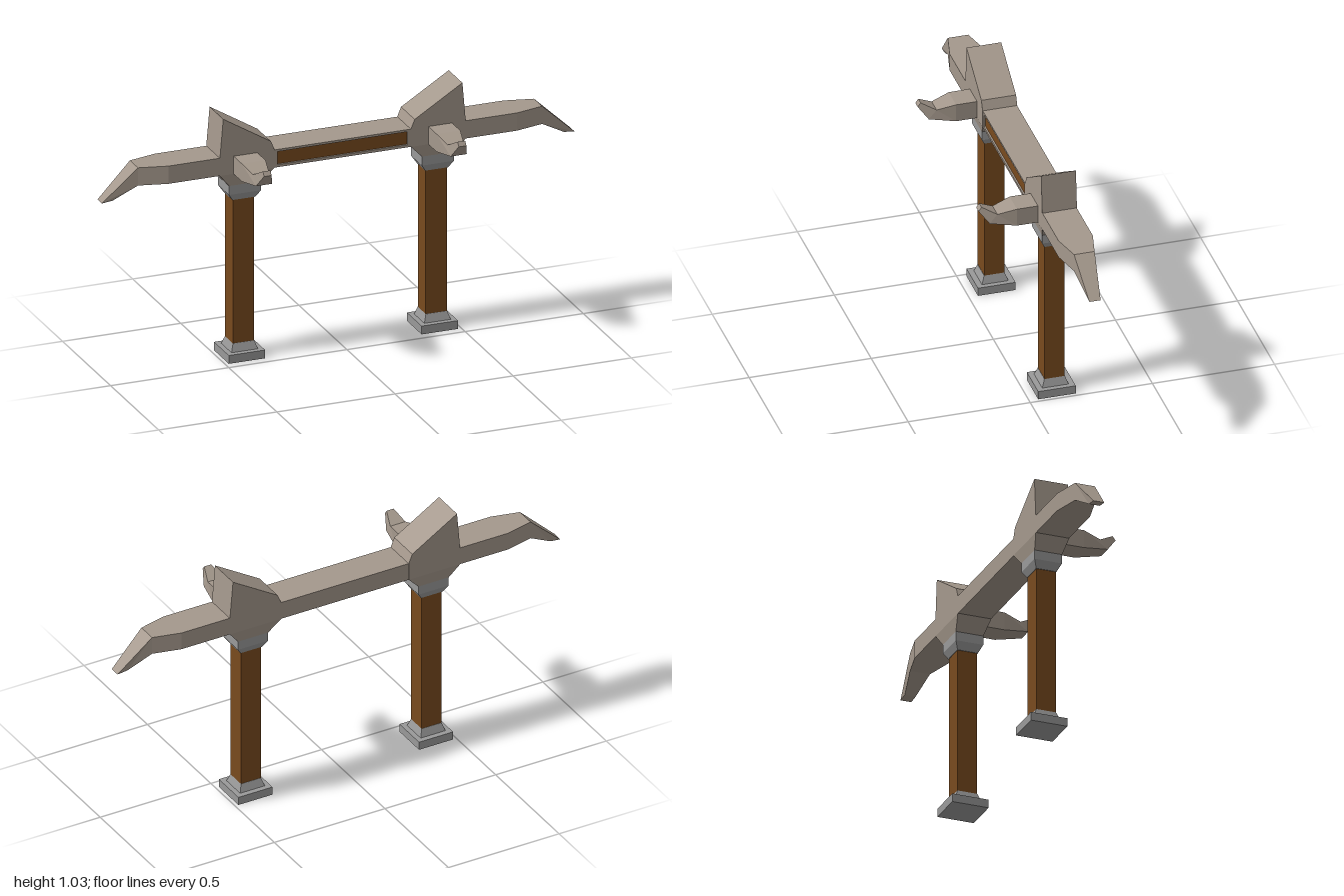
import * as THREE from 'three';

const ZC = -0.114; // centre plane of the beam and posts
const HALF = 0.07; // half depth of the beam

const material = (color) => new THREE.MeshStandardMaterial({ color, flatShading: true, roughness: 0.9 });

// Skins a list of four-cornered sections and caps both ends; faces always turn outward.
function loft(rings) {
  const tris = [];
  const quad = (a, b, c, d) => tris.push([a, b, c], [a, c, d]);
  for (let i = 0; i < rings.length - 1; i++) {
    const p = rings[i], q = rings[i + 1];
    for (let j = 0; j < 4; j++) {
      const k = (j + 1) % 4;
      quad(p[j], p[k], q[k], q[j]);
    }
  }
  quad(...[...rings[0]].reverse());
  quad(...rings[rings.length - 1]);
  let volume = 0;
  for (const [a, b, c] of tris) volume += a.dot(b.clone().cross(c));
  const pos = [];
  for (const [a, b, c] of tris) {
    for (const v of volume > 0 ? [a, b, c] : [a, c, b]) pos.push(v.x, v.y, v.z);
  }
  const geo = new THREE.BufferGeometry();
  geo.setAttribute('position', new THREE.Float32BufferAttribute(pos, 3));
  geo.computeVertexNormals();
  return geo;
}

// Square section lying flat at height y
const flatRing = (x, y, hx, hz) =>
  [[-1, -1], [1, -1], [1, 1], [-1, 1]].map(([i, j]) => new THREE.Vector3(x + i * hx, y, ZC + j * hz));

function polygon(points, Type = THREE.Shape) {
  return new Type(points.map(([x, y]) => new THREE.Vector2(x, y)));
}

export function createModel() {
  const model = new THREE.Group();
  model.name = 'gateway';
  const stone = material(0xa4988c);
  const wood = material(0x784a1e);
  const metal = material(0x999999);

  const add = (parent, name, geo, mat) => {
    const mesh = new THREE.Mesh(geo, mat);
    mesh.name = name;
    parent.add(mesh);
    return mesh;
  };

  // Crossbeam: solid back with a framed recess in front
  const beam = new THREE.Group();
  beam.name = 'crossbeam';
  model.add(beam);
  const recess = 0.012, inner = 0.288;
  const back = add(beam, 'beamBody', new THREE.BoxGeometry(inner * 2, 0.075, HALF * 2 - recess), stone);
  back.position.set(0, 0.8345, ZC - recess / 2);
  const frame = polygon([[-inner, 0.797], [inner, 0.797], [inner, 0.872], [-inner, 0.872]]);
  frame.holes.push(polygon([[-0.275, 0.808], [-0.275, 0.863], [0.275, 0.863], [0.275, 0.808]], THREE.Path));
  const rim = add(beam, 'beamFrame', new THREE.ExtrudeGeometry(frame, { depth: recess, bevelEnabled: false }), stone);
  rim.position.z = ZC + HALF - recess;
  const panel = add(beam, 'beamPanel', new THREE.BoxGeometry(0.55, 0.055, 0.006), wood);
  panel.position.set(0, 0.8355, ZC + HALF - recess + 0.002);

  for (const s of [1, -1]) {
    const side = new THREE.Group();
    side.name = s > 0 ? 'leftSide' : 'rightSide';
    model.add(side);
    const x = s * 0.408;

    // Post with stepped foot and collar
    add(side, 'footPlate', loft([flatRing(x, 0, 0.077, 0.077), flatRing(x, 0.035, 0.077, 0.077)]), metal);
    add(side, 'footTaper', loft([flatRing(x, 0.035, 0.056, 0.054), flatRing(x, 0.068, 0.045, 0.042)]), metal);
    add(side, 'post', loft([flatRing(x, 0.067, 0.045, 0.041), flatRing(x, 0.677, 0.045, 0.041)]), wood);
    add(side, 'collar', loft([
      flatRing(x, 0.675, 0.048, 0.043),
      flatRing(x, 0.705, 0.068, 0.058),
      flatRing(x, 0.743, 0.068, 0.058),
    ]), metal);

    // Hub: flared underside and pointed crest
    add(side, 'hubFlare', loft([
      flatRing(x, 0.743, 0.068, 0.058),
      flatRing(s * 0.404, 0.797, 0.116, 0.071),
    ]), stone);
    const crest = polygon([[0.288, 0.797], [0.52, 0.797], [0.52, 0.872], [0.506, 1.035], [0.304, 0.911], [0.288, 0.872]]
      .map(([px, py]) => [s * px, py]));
    const hub = add(side, 'hubCrest', new THREE.ExtrudeGeometry(crest, { depth: 0.142, bevelEnabled: false }), stone);
    hub.position.z = ZC - 0.071;

    // Outer arm drooping to a narrow tip: [bottom x, bottom y, top x, top y, half depth]
    add(side, 'arm', loft([
      [0.515, 0.797, 0.515, 0.872, HALF],
      [0.738, 0.797, 0.738, 0.872, HALF],
      [0.855, 0.797, 0.855, 0.872, 0.042],
      [0.955, 0.741, 1.0, 0.736, 0.023],
    ].map(([bx, by, tx, ty, h]) => [[bx, by, -h], [bx, by, h], [tx, ty, h], [tx, ty, -h]]
      .map(([px, py, pz]) => new THREE.Vector3(s * px, py, ZC + pz)))), stone);

    // Forward horn curling up: [bottom z, bottom y, half width, top z, top y, half width]
    add(side, 'horn', loft([
      [-0.05, 0.797, 0.05, -0.05, 0.872, 0.05],
      [0.043, 0.797, 0.05, 0.043, 0.872, 0.05],
      [0.15, 0.815, 0.034, 0.118, 0.852, 0.034],
      [0.19, 0.868, 0.016, 0.178, 0.885, 0.016],
    ].map(([bz, by, bw, tz, ty, tw]) => [[-bw, by, bz], [bw, by, bz], [tw, ty, tz], [-tw, ty, tz]]
      .map(([px, py, pz]) => new THREE.Vector3(s * 0.412 + px, py, pz)))), stone);
  }

  return model;
}
